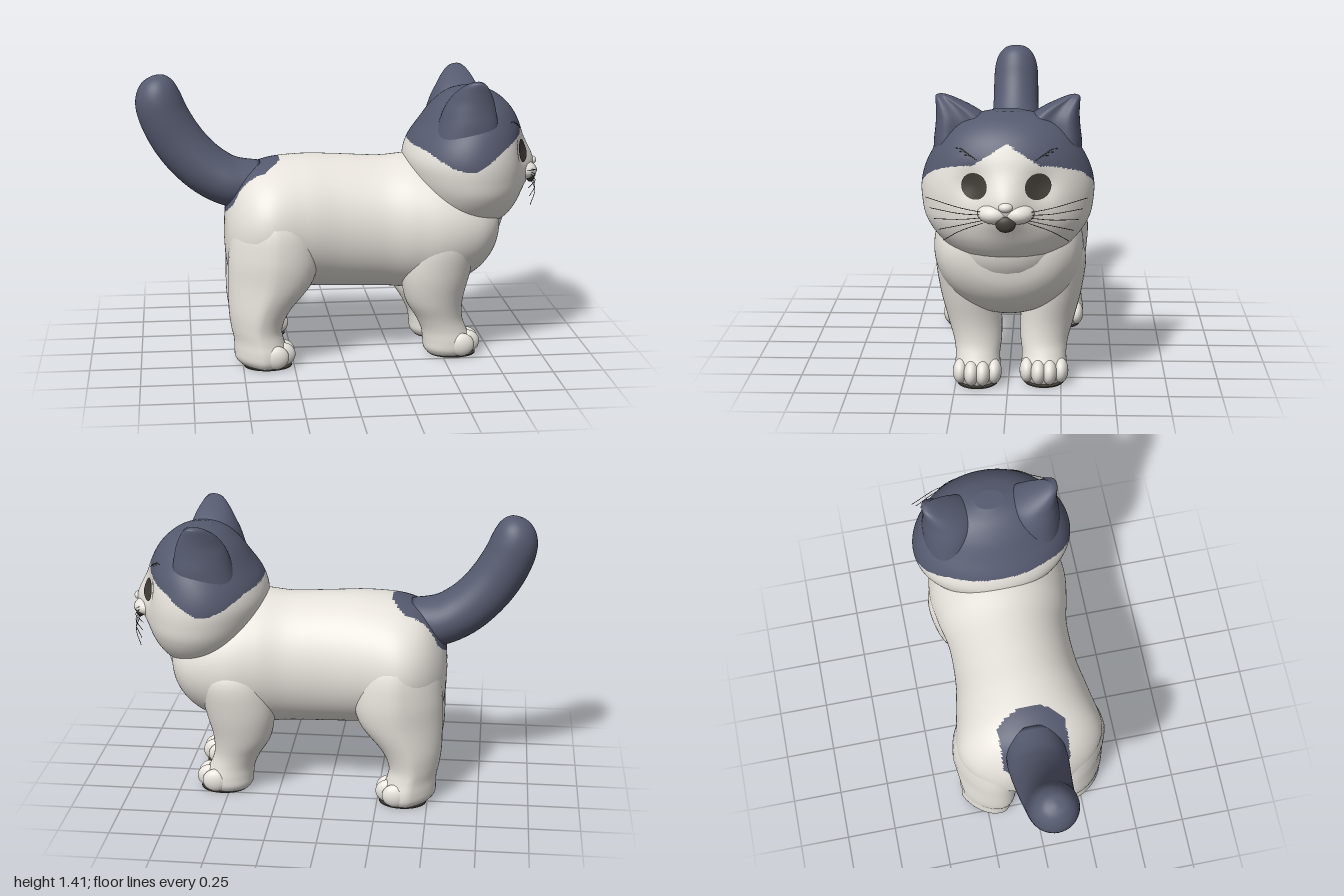
import * as THREE from 'three';

const mat = (name, color) => {
  const m = new THREE.MeshStandardMaterial({ color });
  m.name = name;
  return m;
};

// Smooth interpolation through rows of numbers
function sample(rows, t) {
  const f = t * (rows.length - 1), i = Math.min(Math.floor(f), rows.length - 2), u = f - i;
  const at = k => rows[Math.max(0, Math.min(rows.length - 1, k))];
  return at(i).map((p1, c) => {
    const p0 = at(i - 1)[c], p2 = at(i + 1)[c], p3 = at(i + 2)[c];
    return p1 + 0.5 * u * (p2 - p0 + u * (2 * p0 - 5 * p1 + 4 * p2 - p3 + u * (3 * (p1 - p2) + p3 - p0)));
  });
}

// Closed skin over rings; place(row, cos, sin) gives a point on a ring
function loft(rows, place, seg = 40, steps = 40) {
  const pos = [], idx = [];
  for (let i = 0; i <= steps; i++) {
    const row = sample(rows, i / steps);
    for (let j = 0; j < seg; j++) {
      const a = j / seg * Math.PI * 2;
      pos.push(...place(row, Math.cos(a), Math.sin(a)));
    }
  }
  for (let i = 0; i < steps; i++) for (let j = 0; j < seg; j++) {
    const a = i * seg + j, b = i * seg + (j + 1) % seg;
    idx.push(a, b, a + seg, b, b + seg, a + seg);
  }
  for (const end of [0, steps]) {
    const c = [0, 0, 0], n = pos.length / 3;
    for (let j = 0; j < seg; j++) for (let k = 0; k < 3; k++) c[k] += pos[(end * seg + j) * 3 + k] / seg;
    pos.push(...c);
    for (let j = 0; j < seg; j++) {
      const a = end * seg + j, b = end * seg + (j + 1) % seg;
      if (end) idx.push(a, b, n); else idx.push(b, a, n);
    }
  }
  // Turn faces outward
  const P = i => new THREE.Vector3().fromArray(pos, i * 3);
  let vol = 0;
  for (let i = 0; i < idx.length; i += 3) vol += P(idx[i]).dot(P(idx[i + 1]).cross(P(idx[i + 2])));
  if (vol < 0) idx.reverse();
  const g = new THREE.BufferGeometry();
  g.setAttribute('position', new THREE.Float32BufferAttribute(pos, 3));
  g.setIndex(idx);
  g.computeVertexNormals();
  return g;
}

// Split faces in two material groups by a rule on the face centre
function paint(g, rule) {
  const p = g.attributes.position, sets = [[], []], idx = g.index.array;
  for (let i = 0; i < idx.length; i += 3) {
    const t = [idx[i], idx[i + 1], idx[i + 2]];
    const mid = get => t.reduce((s, k) => s + p[get](k) / 3, 0);
    sets[rule(mid('getX'), mid('getY'), mid('getZ')) ? 1 : 0].push(...t);
  }
  g.setIndex([...sets[0], ...sets[1]]);
  g.addGroup(0, sets[0].length, 0);
  g.addGroup(sets[0].length, sets[1].length, 1);
  return g;
}

export function createModel() {
  const white = mat('creamFur', 0xe7e3dc), slate = mat('slateFur', 0x555a6f), dark = mat('darkBrown', 0x413c36);
  const cat = new THREE.Group();
  cat.name = 'cat';
  const add = (name, geo, m, parent = cat) => {
    const mesh = new THREE.Mesh(geo, m);
    mesh.name = name;
    parent.add(mesh);
    return mesh;
  };
  const ball = (name, m, c, r, parent) => {
    const b = add(name, new THREE.SphereGeometry(1, 28, 18), m, parent);
    b.position.set(...c);
    b.scale.set(...r);
  };

  // Torso: x, bottom, top, half width
  const torso = loft([
    [-0.575, 0.58, 0.64, 0.02], [-0.558, 0.44, 0.8, 0.18], [-0.48, 0.38, 0.93, 0.305], [-0.36, 0.36, 0.985, 0.365],
    [-0.18, 0.345, 1.005, 0.338], [0, 0.335, 1, 0.308], [0.2, 0.33, 0.99, 0.305], [0.35, 0.32, 1, 0.335],
    [0.48, 0.32, 0.99, 0.352], [0.61, 0.36, 0.96, 0.335], [0.71, 0.43, 0.9, 0.29], [0.775, 0.53, 0.83, 0.2], [0.8, 0.66, 0.72, 0.03],
  ], ([x, b, t, w], c, s) => [x, (b + t) / 2 + c * (t - b) / 2, s * w], 144, 150);
  add('torso', paint(torso, (x, y, z) => x < -0.28 && Math.abs(z) < 0.165 && y > 0.735 + 0.95 * (x + 0.57) + z * z), [white, slate]);
  ball('neck', white, [0.59, 0.73, 0], [0.242, 0.24, 0.3], cat);

  // Tail: centre x, centre y, path direction, radii in and across the bend
  add('tail', loft([
    [-0.4, 0.86, 0.05, 0.12, 0.13], [-0.53, 0.875, 0.15, 0.125, 0.148], [-0.64, 0.93, 0.55, 0.125, 0.14], [-0.73, 1.01, 0.8, 0.125, 0.13],
    [-0.8, 1.1, 0.95, 0.125, 0.122], [-0.855, 1.2, 1.1, 0.122, 0.12], [-0.887, 1.29, 1.2, 0.115, 0.115],
    [-0.9, 1.355, 1.25, 0.093, 0.095], [-0.907, 1.395, 1.25, 0.055, 0.058], [-0.909, 1.408, 1.25, 0.01, 0.01],
  ], ([x, y, a, r, w], c, s) => [x + c * r * Math.sin(a), y + c * r * Math.cos(a), s * w]), slate);

  // Head: y, back x, front x, half width
  const headRows = [
    [0.64, 0.5, 0.74, 0.14], [0.69, 0.45, 0.83, 0.25], [0.76, 0.4, 0.885, 0.325], [0.84, 0.36, 0.915, 0.375], [0.92, 0.33, 0.925, 0.393],
    [1, 0.32, 0.925, 0.395], [1.08, 0.345, 0.915, 0.375], [1.16, 0.4, 0.895, 0.335], [1.24, 0.46, 0.85, 0.275],
    [1.3, 0.53, 0.78, 0.185], [1.33, 0.6, 0.7, 0.07],
  ];
  const head = new THREE.Group();
  head.name = 'head';
  cat.add(head);
  // Lower edge of the dark cap along x, with a light blaze on the brow
  const edge = [[0.3, 1.08], [0.4, 1.06], [0.5, 1], [0.56, 0.98], [0.62, 0.98], [0.69, 1.02], [0.77, 1.075], [0.86, 1.115], [1, 1.14]];
  const cap = (x, y, z) => {
    const i = Math.max(1, edge.findIndex(e => e[0] >= x));
    const [a, b] = [edge[i - 1], edge[i]];
    const line = a[1] + (b[1] - a[1]) * (x - a[0]) / (b[0] - a[0]);
    const blaze = x > 0.7 ? Math.max(0, 0.1 * (1 - Math.abs(z) / 0.15)) : 0;
    return y > line + blaze;
  };
  // Snout bump and eye hollows on the front of the skull
  const bump = (y, z) => 0.055 * Math.exp(-((z / 0.1) ** 2) - ((y - 0.945) / 0.11) ** 2)
    - 0.028 * Math.exp(-(((Math.abs(z) - 0.155) / 0.075) ** 2) - ((y - 1.03) / 0.075) ** 2);
  const skull = add('skull', paint(loft(headRows, ([y, b, f, w], c, s) =>
    [(b + f) / 2 + c * (f - b) / 2 + (c > 0 ? bump(y, s * w) : 0), y, s * w], 160, 120), cap), [white, slate], head);
  const ray = new THREE.Raycaster();
  const faceX = (y, z) => {
    ray.set(new THREE.Vector3(2, y, z), new THREE.Vector3(-1, 0, 0));
    return ray.intersectObject(skull)[0].point.x;
  };

  // Nose and mouth
  ball('nose', white, [0.972, 0.952, 0], [0.026, 0.022, 0.032], head);
  ball('mouth', dark, [0.97, 0.876, 0], [0.022, 0.037, 0.045], head);

  const hair = (name, pts) => add(name, new THREE.TubeGeometry(
    new THREE.CatmullRomCurve3(pts.map(p => new THREE.Vector3(...p))), 12, 0.0016, 5), dark, head);

  for (const s of [1, -1]) {
    ball('muzzlePad', white, [0.92, 0.914, s * 0.052], [0.07, 0.047, 0.075], head);

    // Eye: thin disc wrapped on the face
    const eye = new THREE.RingGeometry(0.0001, 0.058, 36, 4);
    eye.rotateY(Math.PI / 2);
    eye.translate(0, 1.03, s * 0.142);
    const p = eye.attributes.position;
    for (let i = 0; i < p.count; i++) p.setX(i, faceX(p.getY(i), p.getZ(i)) + 0.006);
    eye.computeVertexNormals();
    add('eye', eye, dark, head);

    // Ear: y, centre x, centre z, depth, width, with a hollow front
    add('ear', loft([
      [1.08, 0.61, 0.22, 0.17, 0.12], [1.18, 0.625, 0.205, 0.16, 0.133], [1.25, 0.63, 0.202, 0.142, 0.128], [1.3, 0.635, 0.211, 0.12, 0.115],
      [1.345, 0.637, 0.244, 0.092, 0.082], [1.38, 0.638, 0.281, 0.06, 0.047], [1.395, 0.638, 0.298, 0.035, 0.027], [1.402, 0.638, 0.302, 0.006, 0.006],
    ], ([y, x, z, d, w], c, k) => [x + c * d * (c > 0 ? 1 - 0.4 * c ** 6 : 1), y, s * (z + k * w)], 48, 48), slate, head);

    // Whiskers and brow hairs
    for (let i = 0; i < 5; i++) {
      const y = 0.925 - i * 0.012, drop = 0.05 - i * 0.035;
      hair('whisker', [[0.95, y, s * 0.1], [0.95, y + drop * 0.4, s * 0.2], [0.87 + i * 0.01, y + drop, s * (0.36 - i * 0.02)]]);
    }
    for (let i = 0; i < 3; i++) {
      const line = [0, 0.5, 1].map(t => [1.145 + i * 0.012 + 0.02 * Math.sin(t * 2), 0.13 + i * 0.02 + t * 0.06]);
      hair('browHair', line.map(([y, z]) => [faceX(y, s * z) + 0.003, y, s * z]));
    }
  }

  // Legs with paws: y, centre x, centre z, half depth, half width
  const frontRows = [
    [0.74, 0.52, 0.19, 0.1, 0.08], [0.62, 0.5, 0.205, 0.165, 0.135], [0.45, 0.467, 0.188, 0.172, 0.14], [0.3, 0.46, 0.163, 0.147, 0.13],
    [0.2, 0.487, 0.148, 0.118, 0.115], [0.135, 0.512, 0.147, 0.113, 0.106], [0.08, 0.53, 0.147, 0.122, 0.108], [0.035, 0.535, 0.147, 0.122, 0.106],
    [0.004, 0.54, 0.147, 0.105, 0.088],
  ];
  const backRows = [
    [0.88, -0.34, 0.17, 0.1, 0.08], [0.72, -0.345, 0.215, 0.19, 0.145], [0.56, -0.345, 0.236, 0.215, 0.152], [0.42, -0.36, 0.24, 0.205, 0.142],
    [0.28, -0.415, 0.24, 0.15, 0.127], [0.19, -0.43, 0.243, 0.125, 0.115], [0.13, -0.42, 0.248, 0.122, 0.113], [0.08, -0.41, 0.253, 0.13, 0.116],
    [0.035, -0.405, 0.253, 0.132, 0.114], [0.004, -0.4, 0.253, 0.115, 0.095],
  ];
  // Last value: how far the rear of the limb turns toward the midline
  for (const [name, rows, px, pz, turn] of [['front', frontRows, 0.548, 0.147, 0], ['back', backRows, -0.388, 0.253, 0.06]])
    for (const s of [1, -1]) {
      const leg = new THREE.Group();
      leg.name = name + 'Leg';
      cat.add(leg);
      // The right foreleg stands slightly behind the left one
      if (name === 'front' && s < 0) leg.position.set(-0.025, 0, -0.022);
      add('limb', loft(rows, ([y, x, z, d, w], c, k) => [x + c * d, y, s * (z + k * w + turn * Math.min(c, 0))]), white, leg);
      for (let i = 0; i < 4; i++) {
        const o = (i - 1.5) / 1.5;
        ball('toe', white, [px + 0.085 - 0.04 * o * o, 0.062, s * pz + o * 0.08], [0.064, 0.059, 0.036], leg);
      }
      const sole = add('sole', new THREE.CylinderGeometry(1, 1, 0.006, 36), dark, leg);
      sole.position.set(px + 0.01, 0.003, s * pz);
      sole.scale.set(0.118, 1, 0.097);
    }
  return cat;
}
